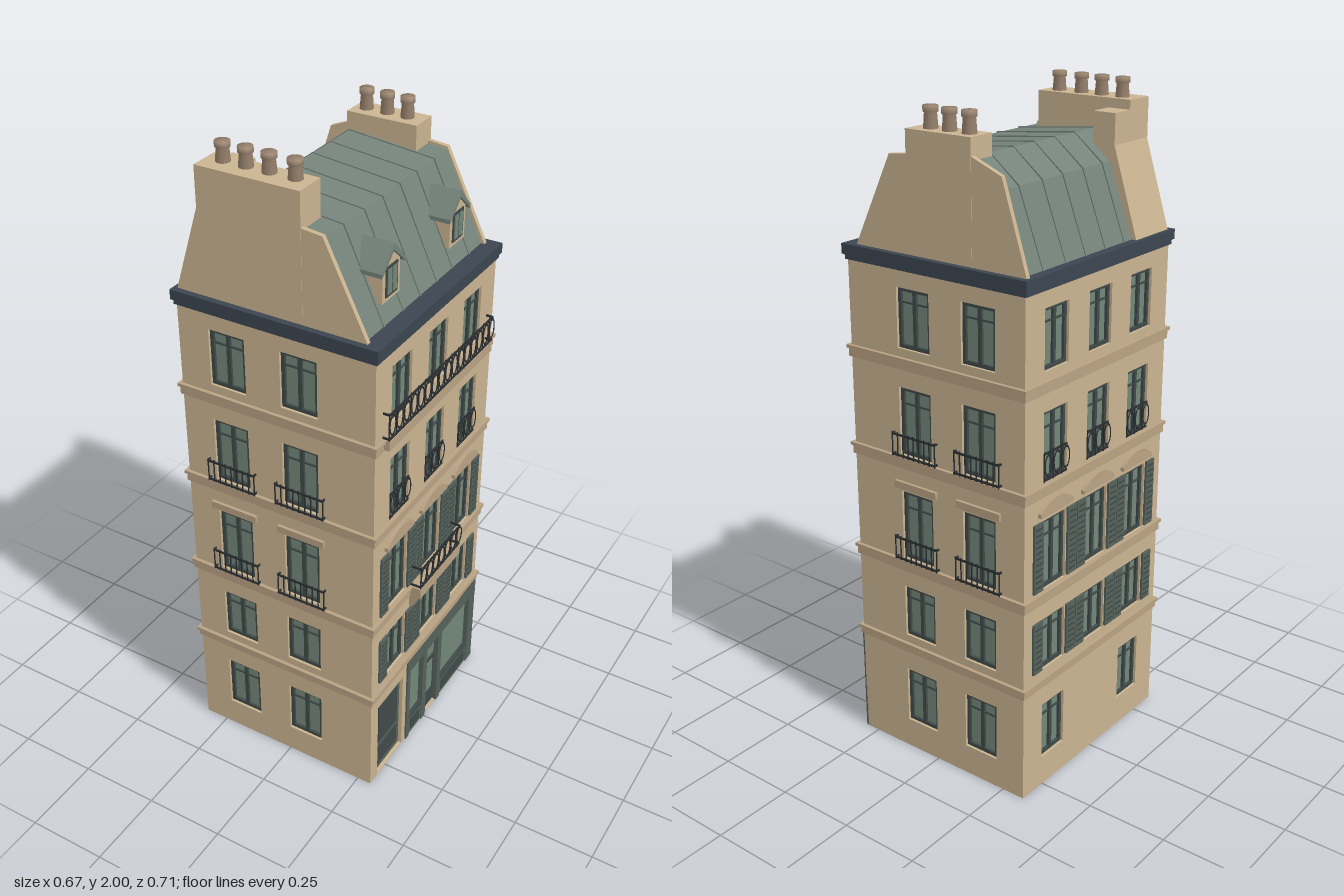
import * as THREE from 'three';
import { mergeGeometries } from 'three/addons/utils/BufferGeometryUtils.js';

const mat = (name, color) => {
  const m = new THREE.MeshStandardMaterial({ color });
  m.name = name;
  return m;
};

// Body extents and depth of the window recesses
const X0 = -0.325, X1 = 0.295, Z = 0.343, T = 0.024;

export function createModel() {
  const M = {
    stone: mat('wall stone', 0xcab491),
    trim: mat('trim stone', 0xb9a283),
    slate: mat('roof zinc', 0x74837a),
    cornice: mat('cornice blue grey', 0x3b4550),
    glass: mat('window glass', 0x728679),
    green: mat('painted green grey', 0x56625b),
    frame: mat('window frame', 0x3f4a48),
    iron: mat('railing iron', 0x2b2f31),
    pot: mat('chimney pot clay', 0x96806b),
  };
  const model = new THREE.Group();
  model.name = 'townHouse';

  const add = (parent, name, geo, material) => {
    const mesh = new THREE.Mesh(geo, material);
    mesh.name = name;
    parent.add(mesh);
    return mesh;
  };
  // Box geometry from its two corners
  const box = (x0, x1, y0, y1, z0, z1) =>
    new THREE.BoxGeometry(x1 - x0, y1 - y0, z1 - z0)
      .translate((x0 + x1) / 2, (y0 + y1) / 2, (z0 + z1) / 2);
  const poly = (pts) => new THREE.Shape(pts.map(([x, y]) => new THREE.Vector2(x, y)));
  const rect = (a, b, c, d) => poly([[a, c], [b, c], [b, d], [a, d]]);
  const extrude = (shape, z0, z1) =>
    new THREE.ExtrudeGeometry(shape, { depth: z1 - z0, bevelEnabled: false, curveSegments: 10 })
      .translate(0, 0, z0);

  // Casement: outer frame, centre mullion and a transom
  const casement = (parent, u, w, y0, y1) => {
    const l = u - w / 2, r = u + w / 2, b = 0.011, back = -T, f = -0.008;
    add(parent, 'windowGlass', box(l, r, y0, y1, back, -0.016), M.glass);
    const t = y1 - (y1 - y0) * 0.26;
    add(parent, 'windowFrame', mergeGeometries([
      box(l, l + b, y0, y1, back, f), box(r - b, r, y0, y1, back, f),
      box(l, r, y0, y0 + b, back, f), box(l, r, y1 - b, y1, back, f),
      box(u - 0.006, u + 0.006, y0, y1, back, f), box(l, r, t, t + 0.005, back, f - 0.003),
    ]), M.frame);
  };

  // Iron railing of the given width that stands out by d
  const railing = (parent, u, w, y0, h, d, rings) => {
    const l = u - w / 2, r = u + w / 2, t = 0.004, parts = [];
    for (const y of [y0 + 0.006, y0 + h - 0.006]) {
      parts.push(box(l, r, y - 0.003, y + 0.003, d - t, d));
      for (const x of [l, r - t]) parts.push(box(x, x + t, y - 0.003, y + 0.003, 0, d));
    }
    const n = Math.round(w / 0.02);
    for (let i = 0; i <= n; i++) {
      const x = l + (i / n) * (w - 0.003);
      if (!rings || i % 2 === 0) parts.push(box(x, x + 0.003, y0, y0 + h, d - t, d - 0.001));
      if (rings && i % 2) {
        parts.push(new THREE.TorusGeometry(0.016, 0.002, 4, 12).scale(1, h / 0.045, 1)
          .translate(x, y0 + h / 2, d - 0.002));
      }
    }
    add(parent, 'railing', mergeGeometries(parts), M.iron);
  };

  const shutter = (parent, u, y0, y1) => {
    const w = 0.042, parts = [box(u - w / 2, u + w / 2, y0, y1, 0, 0.007)];
    add(parent, 'shutter', parts[0], M.green);
    const slats = [];
    for (let y = y0 + 0.015; y < y1 - 0.01; y += 0.018) {
      slats.push(box(u - 0.014, u + 0.014, y, y + 0.005, 0.006, 0.009));
    }
    add(parent, 'shutterSlats', mergeGeometries(slats), M.frame);
  };

  // One wall with holes; u runs along the wall, local +z points outwards
  const wall = (name, u0, u1, windows, openings, place) => {
    const g = new THREE.Group();
    g.name = name;
    place(g);
    model.add(g);
    const shape = rect(u0, u1, 0, 1.55);
    for (const [u, w, y0, y1] of windows) shape.holes.push(rect(u - w / 2, u + w / 2, y0, y1));
    for (const o of openings) shape.holes.push(rect(...o));
    add(g, name + 'Face', extrude(shape, -T, 0), M.stone);
    for (const w of windows) casement(g, ...w);
    return g;
  };

  // Solid core behind the wall faces
  add(model, 'core', box(X0 + T, X1 - T, 0, 1.55, -Z + T, Z - T), M.stone);

  // Window heights per storey
  const floors = [[0.095, 0.275], [0.395, 0.56], [0.655, 0.87], [0.985, 1.19], [1.305, 1.48]];

  // Narrow walls, front and back
  for (const s of [1, -1]) {
    const cols = [-0.168 * s, 0.06 * s], wins = [];
    for (const u of cols) for (const [a, b] of floors) wins.push([u, 0.116, a, b]);
    const g = wall(s > 0 ? 'frontWall' : 'backWall', s > 0 ? X0 : -X1, s > 0 ? X1 : -X0, wins, [], (w) => {
      w.position.z = s * Z;
      w.rotation.y = s > 0 ? 0 : Math.PI;
    });
    for (const u of cols) {
      add(g, 'lintel', box(u - 0.077, u + 0.077, 0.88, 0.902, 0, 0.01), M.trim);
      railing(g, u, 0.16, 0.65, 0.078, 0.014);
      railing(g, u, 0.16, 0.98, 0.075, 0.014);
    }
  }

  // Wide walls, street side (+x) and rear side (-x)
  for (const s of [1, -1]) {
    const cols = [-0.204, 0, 0.204], wins = [];
    for (const u of cols) for (const [a, b] of floors.slice(1)) wins.push([u, 0.108, a, b]);
    if (s < 0) for (const u of [-0.2, 0.2]) wins.push([u, 0.108, ...floors[0]]);
    const openings = s > 0 ? [[-0.3, -0.145, 0.003, 0.292], [-0.118, 0.315, 0.003, 0.338]] : [];
    const g = wall(s > 0 ? 'streetWall' : 'rearWall', -Z + T, Z - T, wins, openings, (w) => {
      w.position.x = s > 0 ? X1 : X0;
      w.rotation.y = s * Math.PI / 2;
    });
    for (const u of cols) {
      for (const k of [-1, 1]) {
        shutter(g, u + k * 0.079, 0.4, 0.562);
        shutter(g, u + k * 0.079, 0.66, 0.872);
      }
      const arch = new THREE.Shape();
      arch.moveTo(-0.077, 0.888);
      arch.lineTo(0.077, 0.888);
      arch.lineTo(0.077, 0.9);
      arch.quadraticCurveTo(0, 0.964, -0.077, 0.9);
      add(g, 'archedPediment', extrude(arch, 0, 0.012).translate(u, 0, 0), M.trim);
      railing(g, u, 0.106, 0.985, 0.09, 0.003, true);
    }
    if (s < 0) continue;

    // Balconies
    add(g, 'balconySlab', box(-0.127, 0.13, 0.615, 0.65, 0, 0.04), M.trim);
    railing(g, 0.001, 0.25, 0.65, 0.08, 0.04, true);
    for (const u of [-0.1, 0.1]) {
      const side = poly([[0, 0.57], [0.012, 0.57], [0.034, 0.616], [0, 0.616]]);
      add(g, 'bracket', extrude(side, -0.022, 0.022).rotateY(-Math.PI / 2).translate(u, 0, 0), M.trim);
    }
    add(g, 'longBalconySlab', box(-0.305, 0.305, 1.25, 1.28, 0, 0.022), M.trim);
    railing(g, 0, 0.61, 1.28, 0.088, 0.022, true);

    // House door
    add(g, 'houseDoor', box(-0.3, -0.145, 0.003, 0.292, -T, -0.012), M.green);
    for (const [a, b] of [[0.03, 0.1], [0.12, 0.27]]) {
      add(g, 'doorPanel', box(-0.28, -0.165, a, b, -0.012, -0.008), M.frame);
    }

    // Shop front: backing, pilasters, sign board, windows, door
    const shop = new THREE.Group();
    shop.name = 'shopFront';
    g.add(shop);
    add(shop, 'shopBacking', box(-0.118, 0.315, 0.003, 0.338, -T, -0.012), M.green);
    add(shop, 'signBoard', box(-0.122, Z, 0.288, 0.345, -0.012, 0.006), M.green);
    for (const [a, b] of [[-0.122, -0.103], [-0.018, 0.008], [0.084, 0.108], [0.303, Z]]) {
      add(shop, 'pilaster', box(a, b, 0, 0.288, -0.012, 0.005), M.green);
    }
    for (const [a, b] of [[-0.103, -0.018], [0.108, 0.303]]) {
      add(shop, 'shopSill', box(a, b, 0.003, 0.075, -0.012, 0.002), M.green);
      add(shop, 'sillPanel', box(a + 0.014, b - 0.014, 0.018, 0.06, 0.002, 0.004), M.frame);
      add(shop, 'shopGlass', box(a + 0.006, b - 0.006, 0.085, 0.278, -0.012, -0.008), M.glass);
      add(shop, 'shopGlassRail', box(a, b, 0.075, 0.085, -0.012, 0.005), M.frame);
    }
    add(shop, 'shopDoor', box(0.008, 0.084, 0.003, 0.21, -0.012, -0.009), M.frame);
    add(shop, 'shopDoorGlass', box(0.024, 0.068, 0.075, 0.195, -0.009, -0.006), M.glass);
    add(shop, 'shopFanlight', box(0.014, 0.078, 0.222, 0.278, -0.012, -0.008), M.glass);
  }

  // String courses between storeys, and the cornice
  const course = (name, y0, y1, o, m) =>
    add(model, name, box(X0 - o, X1 + o, y0, y1, -Z - o, Z + o), m);
  for (const [a, b] of [[0.34, 0.37], [0.615, 0.65], [0.945, 0.98], [1.245, 1.28]]) {
    course('stringCourse', a, b - 0.01, 0.006, M.trim);
    course('stringCourseLip', b - 0.01, b, 0.011, M.trim);
  }
  course('corniceBase', 1.53, 1.545, 0.006, M.cornice);
  course('cornice', 1.545, 1.575, 0.012, M.cornice);

  // Mansard roof with raised seams
  const roofLine = (o) => poly([
    [-0.31 - o, 1.57], [-0.228 - o, 1.785 + o], [-0.135, 1.86 + o],
    [0.135 + o, 1.832 + o], [0.257 + o, 1.57],
  ]);
  add(model, 'mansardRoof', extrude(roofLine(0), -0.326, 0.326), M.slate);
  for (const z of [-0.245, -0.145, -0.053, 0.04, 0.133, 0.235]) {
    add(model, 'roofSeam', extrude(roofLine(0.003), z - 0.003, z + 0.003), M.slate);
  }

  // Gable walls and chimney stacks
  const gable = poly([[-0.325, 1.57], [-0.243, 1.825], [-0.135, 1.868], [0.135, 1.84], [0.268, 1.57]]);
  add(model, 'frontGable', extrude(gable, 0.322, 0.336), M.stone);
  add(model, 'backGable', extrude(gable, -0.336, -0.322), M.stone);
  add(model, 'frontChimney', box(-0.243, 0.073, 1.6, 1.945, 0.243, 0.337), M.stone);
  add(model, 'sideChimney', box(-0.243, -0.17, 1.6, 1.918, 0.17, 0.243), M.stone);
  const flue = poly([[-0.325, 1.572], [-0.2, 1.572], [-0.2, 1.83], [-0.243, 1.83]]);
  add(model, 'slopingFlue', extrude(flue, 0.17, 0.336), M.stone);
  add(model, 'backChimney', box(-0.145, 0.075, 1.6, 1.912, -0.337, -0.25), M.stone);

  const pot = (x, y, z, h) => {
    const profile = [[0.021, -0.01], [0.017, h * 0.7], [0.021, h * 0.72], [0.021, h], [0, h]];
    add(model, 'chimneyPot', new THREE.LatheGeometry(
      profile.map(([r, v]) => new THREE.Vector2(r, v)), 14).translate(x, y, z), M.pot);
  };
  for (const x of [-0.192, -0.122, -0.052, 0.025]) pot(x, 1.945, 0.28, 0.055);
  for (const x of [-0.108, -0.042, 0.022]) pot(x, 1.912, -0.295, 0.06);

  // Dormers on the street slope
  for (const z of [0.181, -0.187]) {
    const d = new THREE.Group();
    d.name = 'dormer';
    d.position.set(0, 0, z);
    d.rotation.y = Math.PI / 2;
    model.add(d);
    add(d, 'dormerBody', extrude(poly([
      [-0.045, 1.63], [0.045, 1.63], [0.045, 1.73], [0, 1.772], [-0.045, 1.73]]), 0.14, 0.243), M.stone);
    add(d, 'dormerRoof', extrude(poly([
      [-0.061, 1.712], [0, 1.768], [0.061, 1.712], [0.061, 1.724], [0, 1.788], [-0.061, 1.724]]), 0.14, 0.251), M.slate);
    add(d, 'dormerFrame', box(-0.03, 0.03, 1.642, 1.728, 0.243, 0.246), M.frame);
    for (const k of [-1, 1]) {
      add(d, 'dormerGlass', box(k * 0.013 - 0.01, k * 0.013 + 0.01, 1.65, 1.72, 0.246, 0.248), M.glass);
    }
  }
  return model;
}
